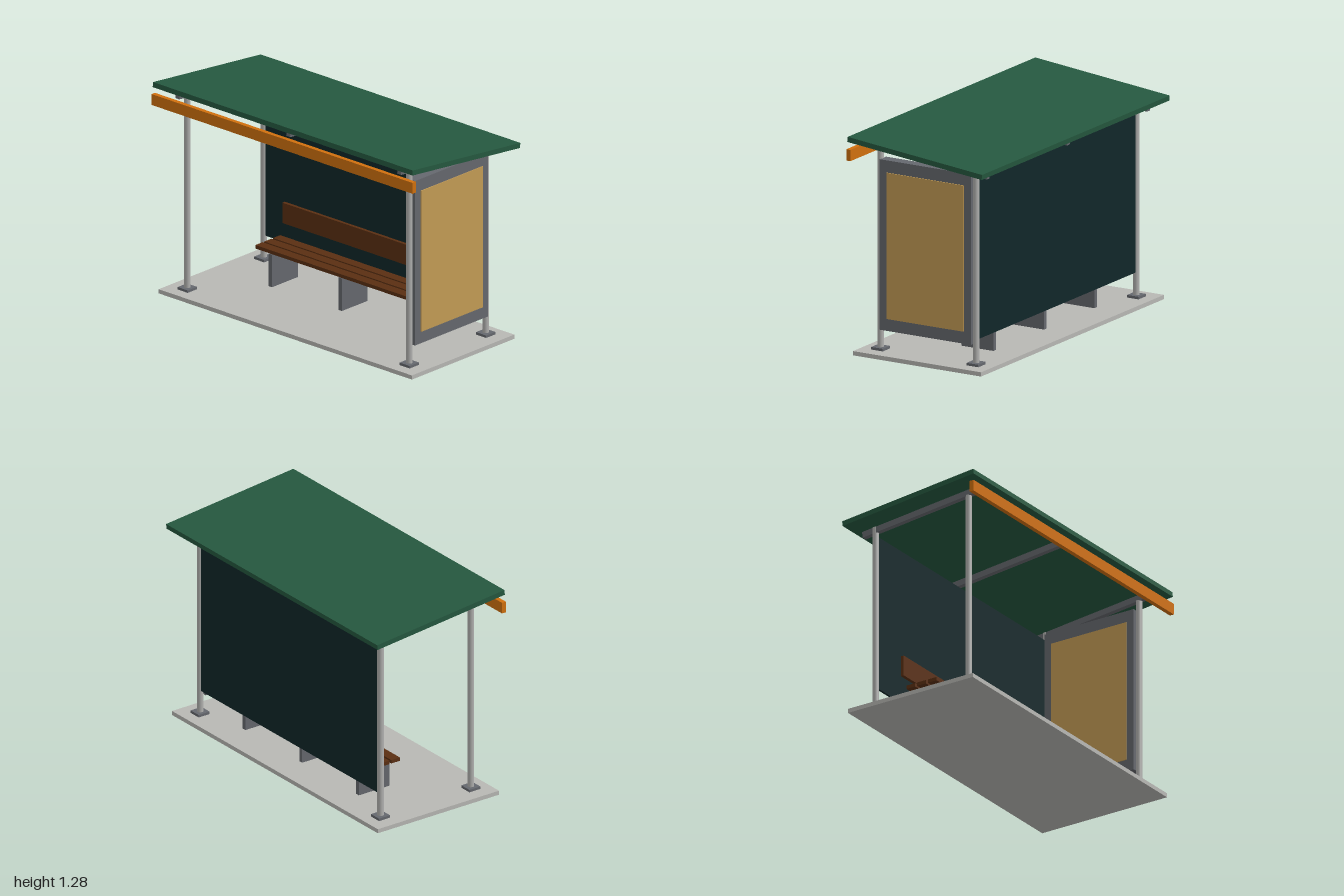
import * as THREE from 'three';

const mat = (name, color) => {
  const m = new THREE.MeshStandardMaterial({ color });
  m.name = name;
  return m;
};

export function createModel() {
  const shelter = new THREE.Group();
  shelter.name = 'busShelter';

  const concrete = mat('concrete', 0xb8b8b4);
  const steel = mat('paleSteel', 0xb0b0ae);
  const frameGrey = mat('darkGrey', 0x65686e);
  const roofGreen = mat('roofGreen', 0x25583f);
  const orange = mat('orange', 0xd0700e);
  const wood = mat('wood', 0x5a2f12);
  const glass = mat('darkGlass', 0x102729);
  const poster = mat('posterAmber', 0xc49c55);

  const add = (name, geometry, material, x, y, z) => {
    const mesh = new THREE.Mesh(geometry, material);
    mesh.name = name;
    mesh.position.set(x, y, z);
    shelter.add(mesh);
    return mesh;
  };
  const box = (name, material, w, h, d, x, y, z) =>
    add(name, new THREE.BoxGeometry(w, h, d), material, x, y, z);

  // Ground slab
  box('slab', concrete, 1.94, 0.025, 0.85, 0, 0.0125, 0);

  // Four posts on base plates; the front pair is taller
  for (const x of [-0.85, 0.85]) {
    for (const [z, top] of [[0.317, 1.2], [-0.317, 1.166]]) {
      const h = top - 0.025;
      add('post', new THREE.CylinderGeometry(0.0187, 0.0187, h, 24), steel, x, 0.025 + h / 2, z);
      box('basePlate', frameGrey, 0.077, 0.015, 0.077, x, 0.0325, z);
    }
  }

  // Sloping roof, rafters and front fascia
  const slope = -0.103;
  box('roof', roofGreen, 1.99, 0.03, 0.897, 0, 1.217, 0).rotation.x = slope;
  for (const x of [-0.85, 0, 0.85]) {
    box('rafter', frameGrey, 0.03, 0.036, 0.802, x, 1.18, 0).rotation.x = slope;
  }
  box('fascia', orange, 2, 0.066, 0.027, 0, 1.173, 0.4375);

  // Back wall
  box('backWall', glass, 1.666, 0.941, 0.013, 0, 0.643, -0.317);

  // Side display panel with a poster on each face
  box('displayFrame', frameGrey, 0.066, 0.995, 0.607, 0.848, 0.644, 0);
  for (const side of [-1, 1]) {
    box('poster', poster, 0.006, 0.853, 0.512, 0.848 + side * 0.0355, 0.644, 0);
  }

  // Bench: slatted seat, backrest and three legs
  for (const z of [-0.066, -0.139, -0.212]) {
    box('seatSlat', wood, 1.31, 0.021, 0.06, 0, 0.2325, z);
  }
  box('backrest', wood, 1.31, 0.123, 0.02, 0, 0.373, -0.27);
  for (const x of [-0.535, 0, 0.535]) {
    box('benchLeg', frameGrey, 0.027, 0.197, 0.214, x, 0.1235, -0.137);
  }

  return shelter;
}
